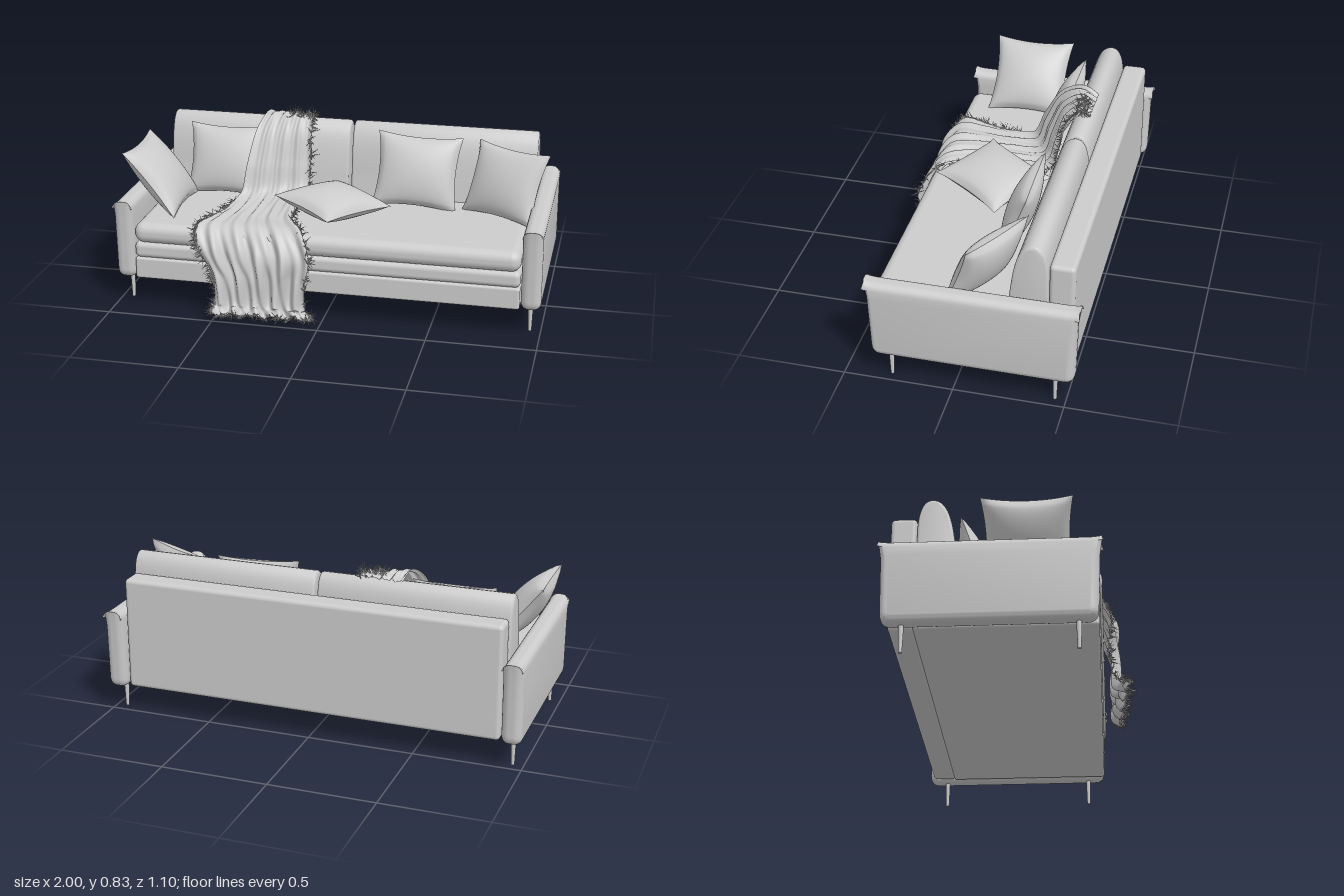
import * as THREE from 'three';
import { mergeGeometries, toCreasedNormals } from 'three/addons/utils/BufferGeometryUtils.js';
import { RoundedBoxGeometry } from 'three/addons/geometries/RoundedBoxGeometry.js';

const V = (p) => new THREE.Vector3(...p);

// small seeded generator for the fringe
function seeded(seed) {
  return () => (seed = (seed * 16807) % 2147483647) / 2147483647;
}

// side profile (drawn as -z, y) swept along x with soft rounded ends
function sweepX(shape, width, bevel, size) {
  const g = new THREE.ExtrudeGeometry(shape, {
    depth: width - 2 * bevel, bevelThickness: bevel, bevelSize: size, bevelOffset: -size,
    bevelSegments: 6, curveSegments: 10,
  });
  g.translate(0, 0, bevel - width / 2);
  g.rotateY(Math.PI / 2);
  return toCreasedNormals(g, 0.7);
}

// square cushion with pinched corners and a seam around the rim
function pillowGeometry(w, h, t) {
  const face = new THREE.PlaneGeometry(2, 2, 24, 24);
  const p = face.attributes.position;
  for (let i = 0; i < p.count; i++) {
    const u = p.getX(i), v = p.getY(i);
    const puff = Math.pow(Math.max(0, (1 - u * u) * (1 - v * v)), 0.5);
    p.setXYZ(i, u * w / 2 * (1 - 0.1 * (1 - v * v)), v * h / 2 * (1 - 0.1 * (1 - u * u)), puff * t / 2);
  }
  face.computeVertexNormals();
  return mergeGeometries([face, face.clone().rotateY(Math.PI)]);
}

// throw: left and right edges from the backrest over the seat to the floor
const leftEdge = new THREE.CatmullRomCurve3([
  [-0.40, 0.75, -0.36], [-0.42, 0.78, -0.28], [-0.45, 0.73, -0.18], [-0.48, 0.58, -0.09],
  [-0.50, 0.44, -0.03], [-0.52, 0.415, 0.1], [-0.56, 0.415, 0.24], [-0.60, 0.405, 0.36],
  [-0.58, 0.33, 0.41], [-0.52, 0.2, 0.41], [-0.50, 0.05, 0.42], [-0.50, 0.01, 0.47],
].map(V));
const rightEdge = new THREE.CatmullRomCurve3([
  [-0.20, 0.76, -0.36], [-0.20, 0.765, -0.32], [-0.20, 0.70, -0.26], [-0.20, 0.55, -0.225],
  [-0.20, 0.43, -0.18], [-0.20, 0.415, 0.05], [-0.18, 0.415, 0.22], [-0.10, 0.405, 0.36],
  [-0.05, 0.3, 0.41], [-0.07, 0.2, 0.41], [-0.07, 0.05, 0.41], [-0.03, 0.01, 0.44],
].map(V));

function throwPoint(u, v) {
  const l = leftEdge.getPoint(v), r = rightEdge.getPoint(v);
  const e = 0.005, a = Math.max(0, v - e), b = Math.min(1, v + e);
  const mid = (t) => leftEdge.getPoint(t).add(rightEdge.getPoint(t));
  const n = mid(b).sub(mid(a)).cross(r.clone().sub(l)).normalize();
  const drape = THREE.MathUtils.smoothstep(v, 0.6, 0.8);
  const wave = 0.5 + 0.3 * Math.sin(u * 30 + 3 * Math.sin(v * 7)) + 0.2 * Math.sin(u * 53 - v * 11 + 1);
  const p = l.lerp(r, u).addScaledVector(n, (0.018 + 0.037 * drape) * wave);
  p.y = Math.max(p.y, 0.006);
  return p;
}

function throwGeometry() {
  const g = new THREE.PlaneGeometry(1, 1, 72, 100);
  const { position, uv } = g.attributes;
  for (let i = 0; i < position.count; i++) {
    const p = throwPoint(uv.getX(i), 1 - uv.getY(i));
    position.setXYZ(i, p.x, p.y, p.z);
  }
  g.computeVertexNormals();
  return g;
}

// loose threads along both sides and both ends of the throw
function fringeGeometry() {
  const rnd = seeded(77), parts = [], up = new THREE.Vector3(0, 1, 0);
  const thread = (u, v, dx, dy, dz) => {
    const p = throwPoint(u, v);
    const d = new THREE.Vector3(dx + rnd() - 0.5, dy + rnd() - 0.5, dz + rnd() - 0.5).normalize();
    const len = 0.025 + rnd() * 0.025;
    if (p.y + d.y * len < 0.005) d.y = Math.max(0, (0.005 - p.y) / len);
    d.normalize();
    const g = new THREE.ConeGeometry(0.003, len, 3).translate(0, len / 2, 0);
    g.applyQuaternion(new THREE.Quaternion().setFromUnitVectors(up, d));
    parts.push(g.translate(p.x, p.y, p.z));
  };
  for (let i = 0; i < 260; i++) {
    const v = rnd();
    thread(1, v, 0.3, 0.1, 0.2);
    thread(0, 0.42 + 0.58 * v, -0.3, 0, 0.2);
    thread(rnd(), 1, 0, 0.1, 0.6);
    if (i % 2) thread(0.45 + 0.55 * rnd(), 0.04 + 0.08 * rnd(), 0, 0.1, 0);
  }
  return mergeGeometries(parts);
}

export function createModel() {
  const model = new THREE.Group();
  model.name = 'sofa';
  const grey = new THREE.MeshStandardMaterial({ color: 0xcccccc });
  grey.name = 'light grey';
  grey.side = THREE.DoubleSide;

  const add = (name, geometry, x = 0, y = 0, z = 0) => {
    const m = new THREE.Mesh(geometry, grey);
    m.name = name;
    m.position.set(x, y, z);
    model.add(m);
    return m;
  };
  const block = (name, w, y0, y1, z0, z1, r) =>
    add(name, new RoundedBoxGeometry(w, y1 - y0, z1 - z0, 5, r), 0, (y0 + y1) / 2, (z0 + z1) / 2);

  // base, two-layer seat and rear panel
  block('base', 1.81, 0.13, 0.235, -0.41, 0.375, 0.012);
  block('lowerSeatLayer', 1.81, 0.235, 0.312, -0.4, 0.38, 0.025);
  block('seatCushion', 1.81, 0.308, 0.408, -0.4, 0.39, 0.045);
  block('backPanel', 1.8, 0.13, 0.668, -0.517, -0.403, 0.02);

  // two back cushions
  const back = new THREE.Shape();
  back.moveTo(0.22, 0.395);
  back.lineTo(0.232, 0.5);
  back.bezierCurveTo(0.245, 0.62, 0.262, 0.752, 0.335, 0.756);
  back.bezierCurveTo(0.385, 0.755, 0.4, 0.69, 0.402, 0.6);
  back.lineTo(0.402, 0.395);
  const backGeo = sweepX(back, 0.9, 0.014, 0.012);
  for (const s of [-1, 1]) add('backCushion', backGeo, s * 0.457, 0, 0);

  // arms with flared upper corners
  const arm = new THREE.Shape();
  arm.moveTo(-0.325, 0.123);
  arm.lineTo(0.49, 0.123);
  arm.quadraticCurveTo(0.538, 0.123, 0.54, 0.17);
  arm.lineTo(0.545, 0.43);
  arm.lineTo(0.557, 0.514);
  arm.quadraticCurveTo(0.53, 0.507, 0.49, 0.507);
  arm.lineTo(-0.33, 0.507);
  arm.quadraticCurveTo(-0.37, 0.507, -0.395, 0.514);
  arm.lineTo(-0.384, 0.43);
  arm.lineTo(-0.374, 0.17);
  arm.quadraticCurveTo(-0.372, 0.123, -0.325, 0.123);
  const armGeo = sweepX(arm, 0.092, 0.036, 0.034);

  // slim tapered legs
  const legGeo = new THREE.CylinderGeometry(0.012, 0.008, 0.13, 16);
  for (const s of [-1, 1]) {
    add('arm', armGeo, s * 0.954, 0, 0);
    add('frontLeg', legGeo, s * 0.95, 0.065, 0.29);
    add('backLeg', legGeo, s * 0.95, 0.065, -0.45);
  }

  // scatter pillows: size, position, rotation
  const pillows = [
    [[0.39, 0.35, 0.13], [-0.6, 0.568, -0.165], [-0.35, 0, 0]],
    [[0.41, 0.36, 0.13], [0.345, 0.573, -0.16], [-0.35, 0, -0.04]],
    [[0.40, 0.35, 0.14], [0.775, 0.565, -0.1], [-0.4, -0.5, 0]],
    [[0.40, 0.39, 0.15], [-0.86, 0.558, 0.075], [-0.67, Math.PI / 2, 0]],
    [[0.37, 0.42, 0.13], [-0.02, 0.475, 0.065], [-Math.PI / 2, -0.6, -0.12]],
  ];
  for (const [size, pos, rot] of pillows) {
    add('pillow', pillowGeometry(...size), ...pos).rotation.set(...rot, 'ZYX');
  }

  add('throwBlanket', throwGeometry());
  add('throwFringe', fringeGeometry());
  return model;
}
